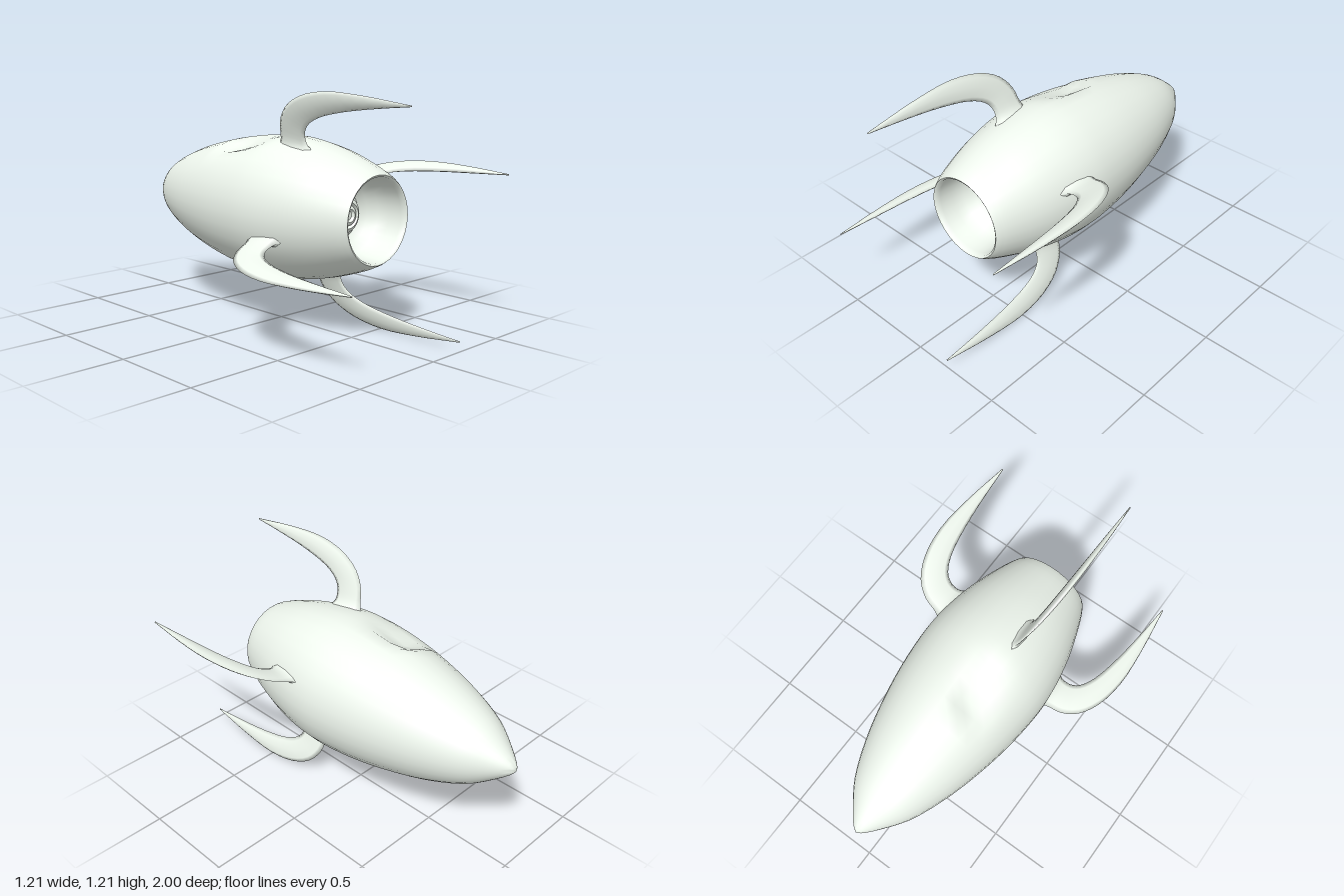
import * as THREE from 'three';
import { mergeVertices, toCreasedNormals } from 'three/addons/utils/BufferGeometryUtils.js';

const AXIS_Y = 0.614;
const FIN_ANGLE = THREE.MathUtils.degToRad(19.7);

const spline = (pts) => new THREE.CatmullRomCurve3(
  pts.map(([a, b, c = 0]) => new THREE.Vector3(a, b, c)), false, 'centripetal');

// Hull skin and engine bay in one lathe; profile as [radius, z]
function hullGeometry() {
  const skin = spline([
    [0, -1], [0.025, -0.985], [0.098, -0.9], [0.174, -0.79], [0.252, -0.6], [0.307, -0.4],
    [0.345, -0.2], [0.365, 0], [0.366, 0.1], [0.355, 0.22], [0.318, 0.4], [0.25, 0.6], [0.227, 0.648],
  ]).getPoints(40).map((p) => new THREE.Vector2(Math.max(p.x, 0), p.y));
  const bay = [
    [0.217, 0.662], [0.207, 0.656], [0.203, 0.63], [0.198, 0.56], [0.184, 0.5], [0.155, 0.455],
    [0.116, 0.43], [0.102, 0.437], [0.085, 0.465], [0.064, 0.478], [0.056, 0.46],
    [0.048, 0.478], [0.032, 0.484], [0.023, 0.47], [0, 0.47],
  ].map(([r, z]) => new THREE.Vector2(r, z));

  let geo = new THREE.LatheGeometry([...skin, ...bay], 32).rotateX(Math.PI / 2);

  // Scoop ahead of the upper fin: steep at the nose end, fading aft
  const pos = geo.attributes.position;
  const scoopAngle = FIN_ANGLE + Math.PI / 2;
  for (let i = 0; i < pos.count; i++) {
    const x = pos.getX(i), y = pos.getY(i), z = pos.getZ(i);
    const r = Math.hypot(x, y);
    if (r < 0.28 || z < -0.32 || z > 0.12) continue;
    const across = Math.max(0, 1 - Math.abs(Math.atan2(y, x) - scoopAngle) / 0.38);
    const along = THREE.MathUtils.smoothstep(z, -0.3, -0.23)
      * (1 - THREE.MathUtils.smoothstep(z, -0.22, 0.12));
    const k = 1 - 0.05 * along * THREE.MathUtils.smoothstep(across, 0, 0.8) / r;
    pos.setXY(i, x * k, y * k);
  }
  geo.deleteAttribute('uv');
  geo.deleteAttribute('normal');
  geo = mergeVertices(geo, 1e-4);
  return toCreasedNormals(geo, 0.9);
}

// Curved blade: elliptical sections between an outer and an inner edge.
// Edges are [distance from axis, z, half thickness]
function finGeometry() {
  const outer = spline([
    [0.33, 0.1, 0.042], [0.385, 0.132, 0.015], [0.47, 0.155, 0.01], [0.55, 0.215, 0.012],
    [0.612, 0.33, 0.015], [0.643, 0.5, 0.015], [0.632, 0.72, 0.012], [0.595, 1, 0.003],
  ]);
  const inner = spline([
    [0.33, 0.33, 0], [0.365, 0.308, 0], [0.42, 0.312, 0], [0.465, 0.345, 0],
    [0.508, 0.43, 0], [0.545, 0.6, 0], [0.57, 0.8, 0], [0.588, 1, 0],
  ]);
  const rows = 21, sides = 8, verts = [], index = [];
  for (let i = 0; i <= rows; i++) {
    const o = outer.getPoint(i / rows), n = inner.getPoint(i / rows);
    for (let j = 0; j < sides; j++) {
      const a = (j / sides) * Math.PI * 2, c = Math.cos(a) / 2;
      verts.push(
        (o.x + n.x) / 2 + c * (o.x - n.x),
        Math.sin(a) * o.z,
        (o.y + n.y) / 2 + c * (o.y - n.y));
      if (i === rows) continue;
      const p = i * sides + j, q = i * sides + (j + 1) % sides;
      index.push(p, q, p + sides, q, q + sides, p + sides);
    }
  }
  // Tip cap
  for (let j = 1; j < sides - 1; j++) index.push(rows * sides, rows * sides + j, rows * sides + j + 1);
  const geo = new THREE.BufferGeometry();
  geo.setAttribute('position', new THREE.Float32BufferAttribute(verts, 3));
  geo.setIndex(index);
  geo.computeVertexNormals();
  return geo;
}

export function createModel() {
  const model = new THREE.Group();
  model.name = 'rocket';
  const paint = new THREE.MeshStandardMaterial({ color: 0xeff7ee });

  const rocket = new THREE.Group();
  rocket.name = 'rocketBody';
  rocket.position.y = AXIS_Y;
  model.add(rocket);

  const hull = new THREE.Mesh(hullGeometry(), paint);
  hull.name = 'hull';
  rocket.add(hull);

  // Four fins, a quarter turn apart
  const blade = finGeometry();
  ['leftFin', 'topFin', 'rightFin', 'bottomFin'].forEach((name, k) => {
    const fin = new THREE.Mesh(blade, paint);
    fin.name = name;
    fin.rotation.z = FIN_ANGLE + k * Math.PI / 2;
    rocket.add(fin);
  });
  return model;
}
